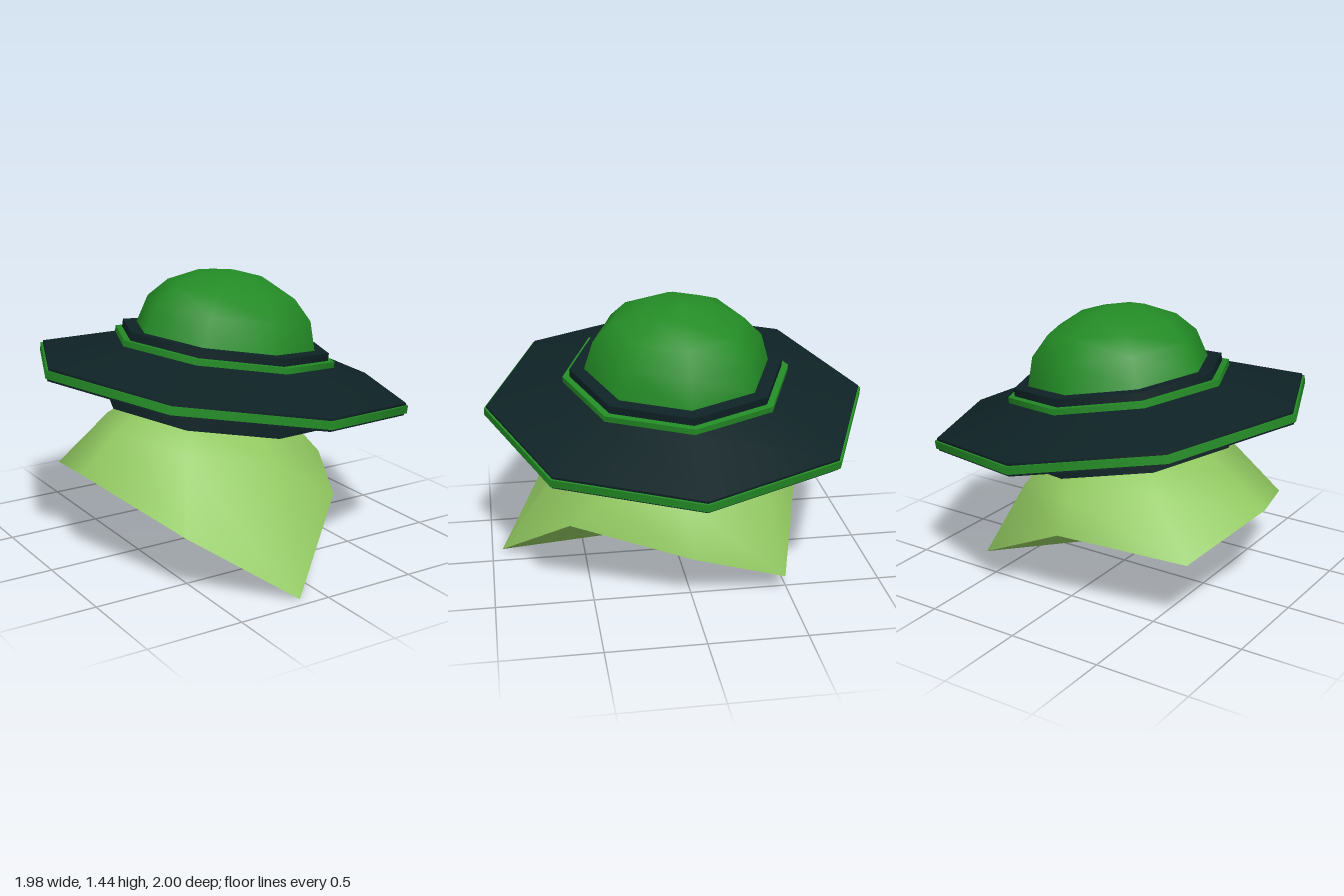
import * as THREE from 'three';

const SIDES = 8;
const TILT = -0.157;
const HEIGHT = 0.87;

const hull = new THREE.MeshStandardMaterial({ color: 0x0e2225 });
hull.name = 'dark hull';
const green = new THREE.MeshStandardMaterial({ color: 0x238b25 });
green.name = 'forest green';
const lime = new THREE.MeshStandardMaterial({ color: 0x91c860, side: THREE.DoubleSide });
lime.name = 'light green';

// Octagonal lathe; profile runs from bottom to top, [radius, height]
function lathe(name, profile, material) {
  const points = profile.map(([r, h]) => new THREE.Vector2(r, h));
  const mesh = new THREE.Mesh(new THREE.LatheGeometry(points, SIDES), material);
  mesh.name = name;
  return mesh;
}

// Indexed smooth surface from a list of points
function surface(name, points, index, material) {
  const geometry = new THREE.BufferGeometry().setFromPoints(points);
  geometry.setIndex(index);
  geometry.computeVertexNormals();
  const mesh = new THREE.Mesh(geometry, material);
  mesh.name = name;
  return mesh;
}

function createSaucer() {
  const saucer = new THREE.Group();
  saucer.name = 'saucer';
  saucer.add(
    // lower hull
    lathe('undersideDisc', [[0, -0.172], [0.607, -0.172]], hull),
    lathe('undersideDrum', [[0.607, -0.172], [0.607, -0.1]], hull),
    lathe('brimUnderside', [[0.607, -0.1], [0.988, -0.032]], hull),
    // rim
    lathe('rimEdge', [[0.988, -0.032], [0.988, 0.032]], hull),
    lathe('rimBandUnderside', [[0.985, -0.02], [1, -0.02]], green),
    lathe('rimBand', [[1, -0.02], [1, 0.02]], green),
    lathe('rimBandTop', [[1, 0.02], [0.985, 0.02]], green),
    // upper hull and collar
    lathe('brimTop', [[0.988, 0.032], [0.585, 0.152]], hull),
    lathe('collarBand', [[0.593, 0.14], [0.593, 0.18]], green),
    lathe('collarBandTop', [[0.593, 0.18], [0.55, 0.18]], green),
    lathe('collarWall', [[0.557, 0.17], [0.557, 0.22]], hull),
    lathe('collarTop', [[0.557, 0.22], [0.46, 0.22]], hull),
    // dome
    lathe('dome', [[0.483, 0.215], [0.438, 0.368], [0.341, 0.469], [0.182, 0.545], [0, 0.571]], green)
  );
  saucer.rotation.z = TILT;
  saucer.position.y = HEIGHT;
  return saucer;
}

function createBeam() {
  const beam = new THREE.Group();
  beam.name = 'beam';

  // Ragged lower edge, one corner per side
  const hem = [
    [0.615, 0.25, 0], [0.32, 0.34, 0.6], [-0.13, 0, 0.945], [-0.6, 0.32, 0.66],
    [-0.83, 0.49, 0.03], [-0.7, 0.37, -0.52], [-0.04, 0.42, -0.67], [0.575, 0.095, -0.48],
  ].map((p) => new THREE.Vector3(...p));

  // Tilted rings under the saucer, then the hem
  const points = [];
  for (const [r, h] of [[0.4, -0.155], [0.448, -0.191], [0.58, -0.297]]) {
    for (let i = 0; i < SIDES; i++) {
      const a = (i / SIDES) * Math.PI * 2;
      const p = new THREE.Vector3(r * Math.cos(a), h, r * Math.sin(a));
      p.applyAxisAngle(new THREE.Vector3(0, 0, 1), TILT);
      p.y += HEIGHT;
      points.push(p);
    }
  }
  points.push(...hem);

  const walls = [];
  for (let row = 0; row < 3; row++) {
    for (let i = 0; i < SIDES; i++) {
      const a = row * SIDES + i;
      const b = row * SIDES + ((i + 1) % SIDES);
      const c = a + SIDES;
      const d = b + SIDES;
      walls.push(a, b, c, b, d, c);
    }
  }
  beam.add(surface('beamWall', points, walls, lime));

  // Lower closing fan
  const fan = [];
  for (let i = 0; i < SIDES; i++) fan.push(SIDES, i, (i + 1) % SIDES);
  beam.add(surface('beamBase', [...hem, new THREE.Vector3(0, 0.14, 0)], fan, lime));
  return beam;
}

export function createModel() {
  const model = new THREE.Group();
  model.name = 'flyingSaucer';
  model.add(createSaucer(), createBeam());
  return model;
}
